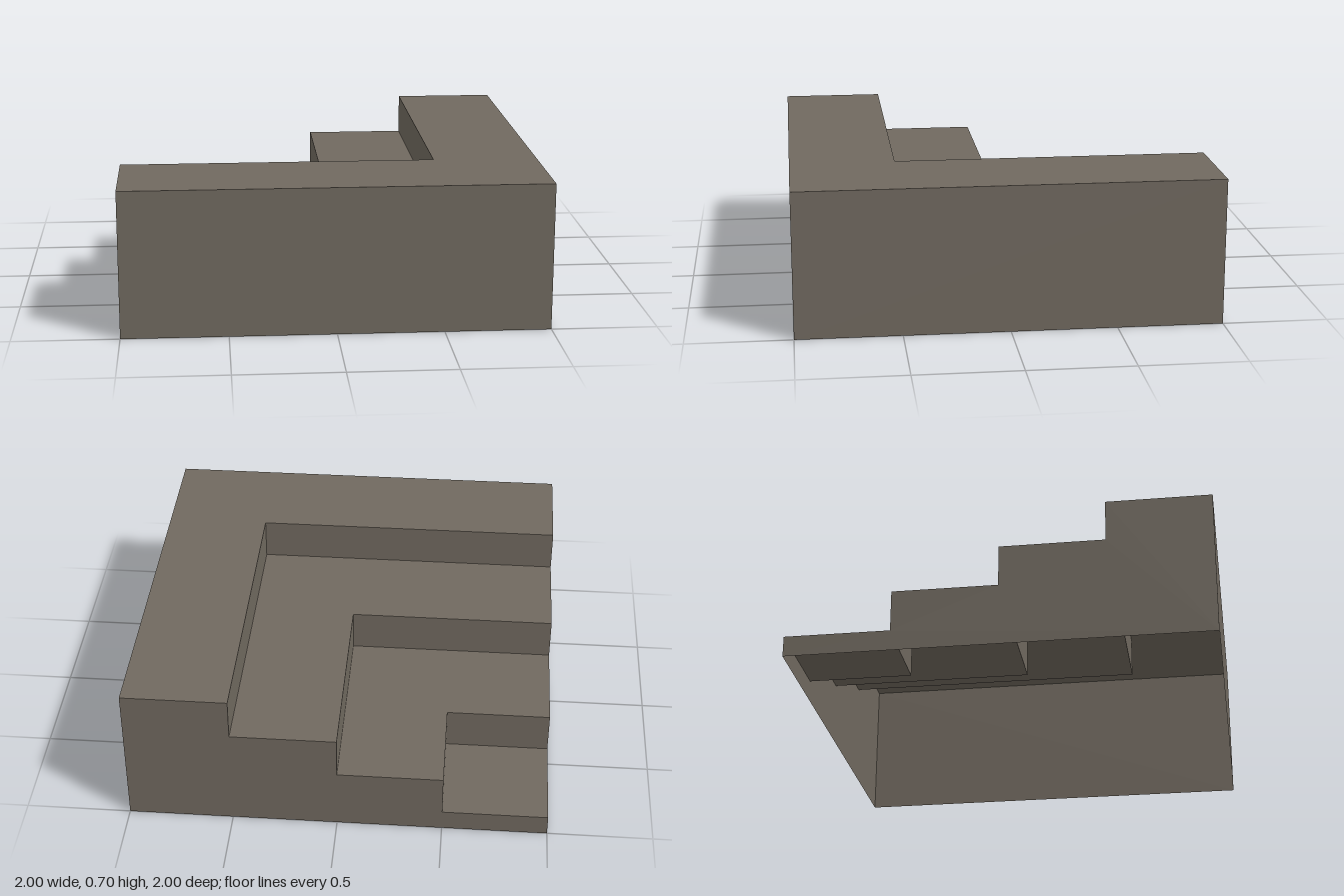
import * as THREE from 'three';

const STEPS = 4, RUN = 0.5, RISE = 0.2, BASE = 0.1;
const level = (k) => BASE + RISE * k;      // tread height
const edge = (k) => -1 + RUN * k;          // riser position along x and z

export function createModel() {
  const group = new THREE.Group();
  group.name = 'cornerStairs';
  const stone = new THREE.MeshStandardMaterial({ color: 0x70695f, side: THREE.DoubleSide });
  stone.name = 'warm grey stone';

  const add = (name, geometry, x = 0, y = 0, z = 0) => {
    const mesh = new THREE.Mesh(geometry, stone);
    mesh.name = name;
    mesh.position.set(x, y, z);
    group.add(mesh);
  };
  const flat = (points) =>
    new THREE.ShapeGeometry(new THREE.Shape(points.map(([u, v]) => new THREE.Vector2(u, v))));

  for (let k = 0; k < STEPS; k++) {
    const a = edge(k), b = edge(k + 1);

    // Treads: a square in the low corner, then L-shaped bands around it
    const inner = k === 0 ? [[-1, 1]] : [[a, 1], [a, -a], [-1, -a]];
    add('tread' + (k + 1), flat([[-1, -b], [b, -b], [b, 1], ...inner]).rotateX(-Math.PI / 2), 0, level(k), 0);

    // Risers: two upright strips meeting at the inner corner
    if (k > 0) {
      const width = a + 1, mid = (a - 1) / 2, y = level(k) - RISE / 2;
      add('riserSide' + k, new THREE.PlaneGeometry(width, RISE).rotateY(-Math.PI / 2), a, y, mid);
      add('riserFront' + k, new THREE.PlaneGeometry(width, RISE).rotateY(Math.PI), mid, y, a);
    }
  }

  // Plain outer walls; the underside is open
  const top = level(STEPS - 1);
  add('frontWall', new THREE.PlaneGeometry(2, top), 0, top / 2, 1);
  add('rightWall', new THREE.PlaneGeometry(2, top).rotateY(Math.PI / 2), 1, top / 2, 0);

  // Stepped outer walls
  const profile = [[-1, 0], [1, 0]];
  for (let k = STEPS - 1; k >= 0; k--) profile.push([edge(k + 1), level(k)], [edge(k), level(k)]);
  const stepped = (sign) => flat(profile.map(([u, v]) => [u * sign, v]));
  add('leftSteppedWall', stepped(1).rotateY(-Math.PI / 2), -1, 0, 0);
  add('backSteppedWall', stepped(-1).rotateY(Math.PI), 0, 0, -1);

  return group;
}
